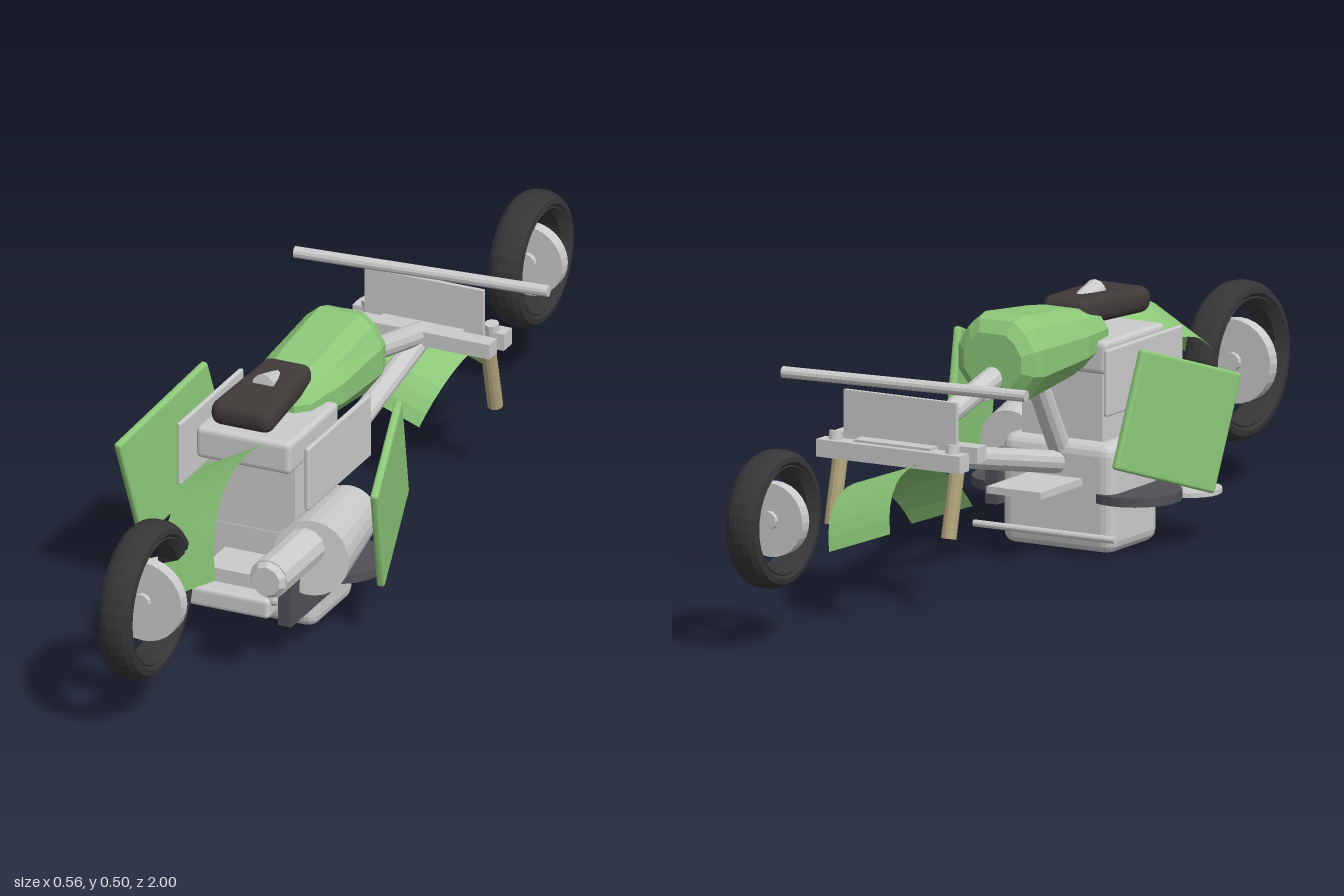
import * as THREE from 'three';
import { RoundedBoxGeometry } from 'three/addons/geometries/RoundedBoxGeometry.js';

const mat = (color, extra = {}) => {
  const m = new THREE.MeshStandardMaterial({ color, flatShading: true });
  return Object.assign(m, extra);
};
const grey = mat(0xcccccc);
const green = mat(0x8cc878);
const thinGreen = mat(0x8cc878, { side: THREE.DoubleSide });
const rubber = mat(0x363638);
const leather = mat(0x403a39);
const darkMetal = mat(0x505056);
const brass = mat(0xb0a47c);
const rad = THREE.MathUtils.degToRad;

export function createModel() {
  const root = new THREE.Group();
  root.name = 'explodedMotorcycle';

  const add = (name, geo, material, x = 0, y = 0, z = 0) => {
    const mesh = new THREE.Mesh(geo, material);
    mesh.name = name;
    mesh.position.set(x, y, z);
    root.add(mesh);
    return mesh;
  };
  const box = (name, w, h, d, x, y, z, material = grey, bevel = 0) =>
    add(name, bevel ? new RoundedBoxGeometry(w, h, d, 2, bevel) : new THREE.BoxGeometry(w, h, d), material, x, y, z);

  // Round bar from point a to point b, radius ra at a and rb at b
  const bar = (name, a, b, ra, rb = ra, material = grey, sides = 12) => {
    const A = new THREE.Vector3(...a), B = new THREE.Vector3(...b);
    const dir = B.clone().sub(A);
    const mesh = add(name, new THREE.CylinderGeometry(rb, ra, dir.length(), sides), material);
    mesh.position.copy(A).add(B).multiplyScalar(0.5);
    mesh.quaternion.setFromUnitVectors(new THREE.Vector3(0, 1, 0), dir.normalize());
    return mesh;
  };

  // Wheels: tyre lathed around x, hub disc turned to face along z
  const wheel = (name, y, z, R, inner, hubR) => {
    const d = R - inner;
    const half = [[0, 0.02], [0.3, 0.031], [0.36, 0.029], [0.5, 0.034], [0.75, 0.032], [0.93, 0.021], [1, 0.008]];
    const profile = [
      ...half.map(([t, w]) => new THREE.Vector2(inner + d * t, -w)),
      ...half.slice().reverse().map(([t, w]) => new THREE.Vector2(inner + d * t, w)),
      new THREE.Vector2(inner, -0.02),
    ];
    const tyre = new THREE.LatheGeometry(profile, 32);
    tyre.rotateZ(Math.PI / 2);
    add(name + 'Tyre', tyre, rubber, 0, y, z);
    bar(name + 'HubDisc', [0, y, z - 0.013], [0, y, z + 0.013], hubR, hubR, grey, 28);
    bar(name + 'Axle', [0, y, z - 0.023], [0, y, z + 0.023], 0.018);
  };
  wheel('rearWheel', 0.248, 0.845, 0.155, 0.11, 0.082);
  wheel('frontWheel', 0.248, -0.866, 0.134, 0.091, 0.072);

  // Mudguards: curved strips, tilted about z
  const mudguard = (name, R, w, start, sweep, tilt, x, y, z) => {
    const geo = new THREE.CylinderGeometry(R, R, w, 14, 1, true, rad(start), rad(sweep));
    geo.rotateZ(Math.PI / 2);
    add(name, geo, thinGreen, x, y, z).rotation.z = rad(tilt);
  };
  mudguard('rearMudguard', 0.36, 0.125, 36.3, 66.5, 29, 0.17, 0.071, 0.5);
  mudguard('frontMudguard', 0.161, 0.145, 19, 142, -20, -0.055, 0.109, -0.457);

  // Fuel tank: eight-sided sections [z, half width, bottom, top]
  const sections = [
    [0.28, 0.045, 0.385, 0.448], [0.255, 0.07, 0.365, 0.46], [0.15, 0.09, 0.35, 0.477],
    [-0.015, 0.092, 0.332, 0.495], [-0.043, 0.084, 0.34, 0.487], [-0.058, 0.064, 0.36, 0.462],
  ];
  const ring = [[1, -0.4], [1, 0.25], [0.75, 0.72], [0.45, 1], [-0.45, 1], [-0.75, 0.72],
    [-1, 0.25], [-1, -0.4], [-0.6, -1], [0.6, -1]];
  const n = ring.length, verts = [], faces = [];
  for (const [z, w, lo, hi] of sections)
    for (const [px, py] of ring) verts.push(px * w, (lo + hi) / 2 + (py * (hi - lo)) / 2, z);
  for (let i = 0; i < sections.length - 1; i++)
    for (let j = 0; j < n; j++) {
      const a = i * n + j, b = i * n + ((j + 1) % n);
      faces.push(a, a + n, b, b, a + n, b + n);
    }
  const last = (sections.length - 1) * n;
  for (let j = 1; j < n - 1; j++) faces.push(0, j, j + 1, last, last + j + 1, last + j);
  const tank = new THREE.BufferGeometry();
  tank.setAttribute('position', new THREE.Float32BufferAttribute(verts, 3));
  tank.setIndex(faces);
  tank.computeVertexNormals();
  add('fuelTank', tank, green);

  // Seat, narrowing towards the tank, with a tapered horn on top
  const seatGeo = new RoundedBoxGeometry(0.134, 0.052, 0.23, 3, 0.022);
  const p = seatGeo.attributes.position;
  for (let i = 0; i < p.count; i++) p.setX(i, p.getX(i) * (0.87 + 0.13 * (p.getZ(i) / 0.115)));
  seatGeo.computeVertexNormals();
  add('seat', seatGeo, leather, 0, 0.455, 0.315).rotation.x = 0.04;
  bar('seatHorn', [0, 0.458, 0.195], [0, 0.478, 0.325], 0.008, 0.023);
  box('seatBase', 0.2, 0.065, 0.22, 0, 0.378, 0.305, grey, 0.01);

  // Engine: crankcase, cylinder block, sump fittings
  box('crankcase', 0.25, 0.215, 0.18, 0, 0.1075, 0.265, grey, 0.025);
  box('cylinderBlock', 0.18, 0.15, 0.17, 0, 0.275, 0.285);
  box('skidPlate', 0.12, 0.014, 0.16, 0, 0.138, 0.1);
  bar('sumpRod', [-0.157, 0.042, 0.135], [0.157, 0.042, 0.135], 0.007);
  box('pivotBar', 0.18, 0.04, 0.05, 0, 0.092, 0.465, grey, 0.008);
  box('pivotMount', 0.13, 0.06, 0.12, 0, 0.11, 0.39);
  box('exhaustBracket', 0.028, 0.1, 0.35, 0.134, 0.127, 0.335, darkMetal);
  bar('footDisc', [-0.16, 0.088, 0.41], [-0.16, 0.097, 0.41], 0.06, 0.06, grey, 24);

  // Exhaust: tapered chamber and tail pipe with a raised end
  bar('exhaustChamber', [0.13, 0.19, 0.22], [0.168, 0.208, 0.465], 0.06, 0.076, grey, 24);
  bar('tailPipe', [0.155, 0.228, 0.44], [0.155, 0.228, 0.625], 0.04, 0.04, grey, 12);
  bar('tailPipeEnd', [0.155, 0.228, 0.625], [0.155, 0.228, 0.638], 0.038, 0.03, grey, 10);

  // Mirrored parts
  for (const s of [-1, 1]) {
    const panel = box('sidePanel', 0.016, 0.236, 0.276, s * 0.229, 0.263, 0.243, green, 0.006);
    panel.rotation.set(rad(18), s * rad(15), 0, 'YXZ');
    box('sideCover', 0.01, 0.13, 0.28, s * 0.135, 0.345, 0.275, grey, 0.004);
    bar('footboard', [s * 0.13, 0.1, 0.255], [s * 0.13, 0.118, 0.255], 0.09, 0.09, darkMetal, 24);
    add('pivotKnob', new THREE.SphereGeometry(0.015, 10, 8), grey, s * 0.09, 0.108, 0.465);
    bar('forkTube', [s * 0.13, 0.29, -0.4], [s * 0.13, 0.145, -0.435], 0.015, 0.015, brass);
    bar('forkCap', [s * 0.13, 0.325, -0.418], [s * 0.13, 0.28, -0.425], 0.014);
  }

  // Frame tubes
  bar('upperFrameTube', [0, 0.395, 0.02], [0, 0.293, -0.39], 0.022);
  bar('lowerFrameTube', [0, 0.17, 0.18], [0, 0.285, -0.375], 0.022);
  bar('seatTube', [0, 0.35, 0.1], [0, 0.18, 0.2], 0.022);

  // Steering head: two clamps, a plate and the handlebar
  box('frontClamp', 0.32, 0.034, 0.035, 0, 0.293, -0.427);
  box('rearClamp', 0.32, 0.03, 0.035, 0, 0.3, -0.362);
  box('clampBridge', 0.17, 0.03, 0.07, 0, 0.3, -0.395);
  box('headPlate', 0.25, 0.115, 0.01, 0, 0.345, -0.395);
  bar('handlebar', [-0.257, 0.423, -0.358], [0.257, 0.423, -0.405], 0.0115);

  return root;
}
